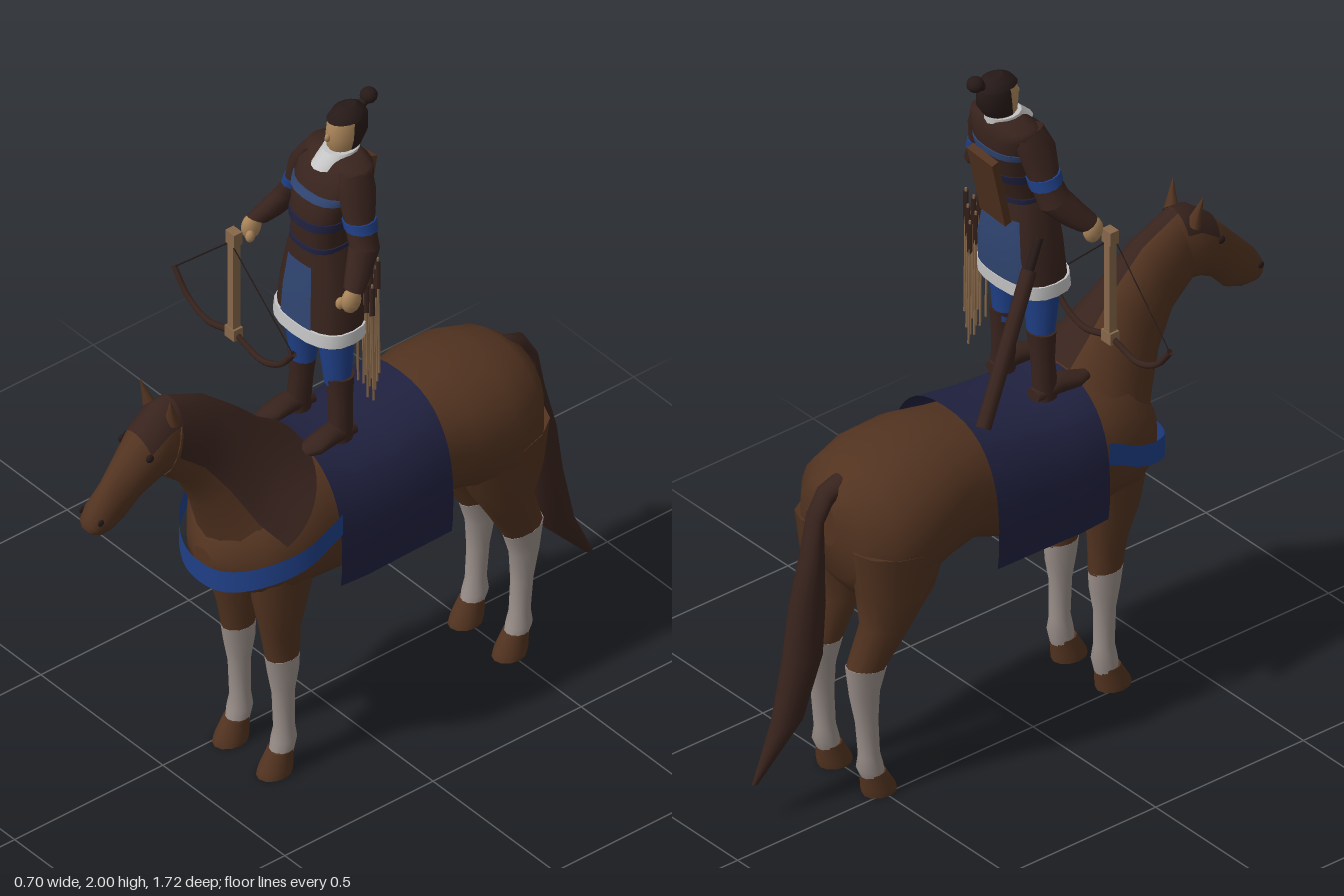
import * as THREE from 'three';

const mat = (name, color) => new THREE.MeshStandardMaterial({ name, color, side: THREE.DoubleSide });
const V = (x, y, z) => new THREE.Vector3(x, y, z);

// Loft through rings. Section: [z1, y1, z2, y2, halfWidthX, centreX]; angle PI/2 is point 1.
function loft(sections, { n = 16, a0 = 0, a1 = Math.PI * 2, grow = 1, p = 1, x = 0, side = 1 } = {}) {
  const closed = a1 - a0 > 6.28, cols = closed ? n : n + 1;
  const pos = [], idx = [], mid = V(0, 0, 0);
  const pw = v => Math.sign(v) * Math.abs(v) ** p * grow;
  const centres = sections.map(([z1, y1, z2, y2, , cx = x]) => V(cx * side, (y1 + y2) / 2, (z1 + z2) / 2));
  centres.forEach(c => mid.addScaledVector(c, 1 / centres.length));
  sections.forEach(([z1, y1, z2, y2, w], i) => {
    for (let j = 0; j < cols; j++) {
      const a = a0 + (a1 - a0) * j / n, s = pw(Math.sin(a)) / 2, c = centres[i];
      pos.push(c.x + w * pw(Math.cos(a)), c.y + (y1 - y2) * s, c.z + (z1 - z2) * s);
    }
  });
  for (let i = 0; i < sections.length - 1; i++) for (let j = 0; j < n; j++) {
    const k = (j + 1) % cols, a = i * cols + j, b = i * cols + k;
    idx.push(a, b, a + cols, b, b + cols, a + cols);
  }
  // end caps with their own ring so the edge stays sharp
  if (closed) [0, sections.length - 1].forEach(e => {
    const base = pos.length / 3;
    pos.push(...pos.slice(e * cols * 3, (e + 1) * cols * 3), centres[e].x, centres[e].y, centres[e].z);
    for (let j = 0; j < n; j++) {
      const k = (j + 1) % n;
      idx.push(base + n, base + (e ? j : k), base + (e ? k : j));
    }
  });
  // turn all faces outward
  const at = i => V(pos[i * 3], pos[i * 3 + 1], pos[i * 3 + 2]).sub(mid);
  let vol = 0;
  for (let i = 0; i < idx.length; i += 3) vol += at(idx[i]).dot(at(idx[i + 1]).cross(at(idx[i + 2])));
  if (vol < 0) idx.reverse();
  const g = new THREE.BufferGeometry();
  g.setAttribute('position', new THREE.Float32BufferAttribute(pos, 3));
  g.setIndex(idx);
  g.computeVertexNormals();
  return g;
}

// Level ring at height y from zFront to zBack
const lv = (y, zf, zb, w, x) => [zf, y, zb, y, w, x];
// Upright ring at depth z
const up = (z, top, bot, w, x) => [z, top, z, bot, w, x];

export function createModel() {
  const root = new THREE.Group();
  root.name = 'horseAndRider';
  const coat = mat('coatBrown', 0x523320), dark = mat('darkBrown', 0x38231d), hair = mat('hairBlack', 0x261a18),
    sock = mat('sockGrey', 0x9a8f8a), skin = mat('skin', 0xa98459), white = mat('furWhite', 0xc4c4c4),
    navy = mat('blanketNavy', 0x20213f), blue = mat('strapBlue', 0x1f3f86), panel = mat('panelBlue', 0x2f4470),
    wood = mat('woodTan', 0x87684a);
  const add = (name, geo, m, parent = root) => {
    const mesh = new THREE.Mesh(geo, m);
    mesh.name = name;
    parent.add(mesh);
    return mesh;
  };
  const group = name => { const g = new THREE.Group(); g.name = name; root.add(g); return g; };
  const rod = (name, a, b, r, m, parent, sides = 6, r2 = r) => {
    const mesh = add(name, new THREE.CylinderGeometry(r2, r, a.distanceTo(b), sides), m, parent);
    mesh.position.copy(a).lerp(b, 0.5);
    mesh.quaternion.setFromUnitVectors(V(0, 1, 0), b.clone().sub(a).normalize());
    return mesh;
  };
  const ball = (name, x, y, z, rx, ry, rz, m, parent) => {
    const mesh = add(name, new THREE.SphereGeometry(1, 12, 8), m, parent);
    mesh.position.set(x, y, z);
    mesh.scale.set(rx, ry, rz);
  };

  // Horse body, neck and head
  const horse = group('horse');
  add('body', loft([up(-.605, .88, .76, .04), up(-.585, .94, .66, .13), up(-.53, .98, .59, .195), up(-.43, 1.01, .58, .217),
    up(-.3, 1.015, .63, .205), up(-.2, 1, .64, .18), up(-.05, .97, .585, .195), up(.08, .965, .565, .2), up(.2, .99, .58, .212),
    up(.3, .97, .58, .208), up(.38, .9, .61, .163), up(.44, .82, .66, .09), up(.46, .76, .7, .04)], { n: 24, p: .92 }), coat, horse);
  add('neck', loft([[.15, .99, .43, .72, .17], [.25, 1.07, .45, .8, .125], [.34, 1.16, .49, .92, .088],
    [.45, 1.25, .54, 1.02, .07], [.56, 1.3, .61, 1.08, .06]]), coat, horse);
  add('head', loft([up(.55, 1.29, 1.13, .045), [.61, 1.3, .6, 1.09, .064], [.68, 1.26, .64, 1.085, .066], [.735, 1.2, .695, 1.055, .052],
    [.79, 1.14, .74, 1.005, .04], [.84, 1.085, .785, .99, .042], [.862, 1.045, .82, .99, .034], [.86, 1.02, .84, 1, .02]]), coat, horse);

  // Mane draped over the left side, with forelock
  add('mane', loft([[.17, 1.01, .42, .74, .207], [.25, 1.07, .45, .8, .145], [.34, 1.16, .49, .92, .094],
    [.45, 1.255, .54, 1.02, .074], [.57, 1.31, .6, 1.09, .067]], { a0: -.35, a1: 1.85, grow: 1.04 }), dark, horse);
  add('forelock', loft([[.57, 1.31, .58, 1.1, .066], [.62, 1.305, .61, 1.09, .068], [.69, 1.25, .65, 1.08, .064]],
    { a0: .5, a1: 2.64, grow: 1.05 }), dark, horse);

  // Tail
  add('tail', loft([[-.56, .96, -.58, .9, .03], [-.62, .94, -.6, .88, .03], [-.66, .87, -.625, .84, .03], lv(.75, -.685, -.62, .034),
    lv(.6, -.725, -.615, .041), lv(.45, -.745, -.625, .045), lv(.27, -.785, -.69, .035), lv(.115, -.855, -.835, .006)]), dark, horse);

  for (const s of [1, -1]) {
    const tag = s > 0 ? 'left' : 'right', leg = (name, secs, m) => add(tag + name, loft(secs, { n: 12, x: .09, side: s }), m, horse);
    leg('FrontLeg', [lv(.74, .38, .17, .085, .11), lv(.58, .36, .2, .07, .1), lv(.46, .33, .215, .047), lv(.37, .315, .215, .038)], coat);
    leg('FrontSock', [lv(.375, .317, .215, .039), lv(.32, .308, .218, .037), lv(.25, .295, .23, .028),
      lv(.14, .29, .23, .027), lv(.1, .297, .225, .035), lv(.055, .305, .235, .03)], sock);
    leg('FrontHoof', [lv(.07, .31, .235, .033), lv(.02, .34, .238, .041), lv(0, .345, .24, .041)], coat);
    leg('HindLeg', [[-.3, .74, -.6, .78, .1, .11], [-.35, .61, -.58, .64, .085, .11], [-.42, .5, -.56, .53, .062, .1],
      [-.485, .39, -.605, .41, .042]], coat);
    leg('HindSock', [[-.483, .39, -.607, .415, .043], lv(.32, -.505, -.595, .033), lv(.23, -.51, -.575, .028),
      lv(.13, -.505, -.565, .028), lv(.09, -.495, -.57, .035), lv(.055, -.488, -.555, .03)], sock);
    leg('HindHoof', [lv(.07, -.485, -.558, .033), lv(.02, -.455, -.555, .041), lv(0, -.45, -.55, .041)], coat);
    const ear = rod(tag + 'Ear', V(s * .045, 1.275, .6), V(s * .062, 1.36, .62), .025, coat, horse, 8, .001);
    ear.scale.z = .7;
    ball(tag + 'Eye', s * .057, 1.2, .685, .008, .012, .012, hair, horse);
    ball(tag + 'Nostril', s * .038, 1.05, .835, .005, .01, .01, hair, horse);
  }

  // Blanket and its thin edging
  const drape = { n: 24, a0: -.27, a1: Math.PI + .27, p: .8 };
  add('blanket', loft([up(-.203, 1.022, .43, .222), up(-.05, .995, .44, .222), up(.08, .985, .44, .222), up(.172, 1.005, .44, .222)], drape), navy, horse);
  // Breast strap: a ribbon bent around the chest
  const plan = new THREE.CatmullRomCurve3([V(-.222, .83, .17), V(-.222, .775, .29), V(-.172, .735, .395), V(-.085, .7, .457), V(0, .693, .472),
    V(.085, .7, .457), V(.172, .735, .395), V(.222, .775, .29), V(.222, .83, .17)]);
  const strap = new THREE.PlaneGeometry(1, .067, 32, 1), sp = strap.attributes.position;
  for (let i = 0; i < sp.count; i++) {
    const q = plan.getPoint(sp.getX(i) + .5);
    sp.setXYZ(i, q.x, q.y + sp.getY(i), q.z);
  }
  strap.computeVertexNormals();
  add('breastStrap', strap, blue, horse);

  // Rider: coat skirt and torso
  const rider = group('rider');
  const skirt = [lv(1.35, .15, -.025, .132), lv(1.45, .145, -.035, .122), lv(1.55, .135, -.025, .1), lv(1.61, .13, -.015, .08)];
  const torso = [lv(1.6, .13, -.015, .08), lv(1.68, .135, -.04, .084), lv(1.75, .12, -.06, .1), lv(1.81, .085, -.067, .112),
    lv(1.842, .05, -.06, .108), lv(1.855, .03, -.05, .05)];
  const box = { p: .8, n: 20 }, q = Math.PI / 2;
  add('skirt', loft(skirt, box), dark, rider);
  add('furHem', loft([lv(1.322, .16, -.03, .139), lv(1.36, .157, -.032, .136)], box), white, rider);
  [[q, .38, 'front'], [3 * q, .7, 'back']].forEach(([a, d, nm]) =>
    add(nm + 'Panel', loft(skirt.slice(0, 3), { ...box, n: 8, a0: a - d, a1: a + d, grow: 1.035 }), panel, rider));
  add('torso', loft(torso, box), dark, rider);
  add('belt', loft([lv(1.595, .135, -.02, .084), lv(1.61, .135, -.021, .084)], box), navy, rider);
  add('waistBand', loft([lv(1.665, .138, -.039, .087), lv(1.69, .137, -.047, .089)], box), navy, rider);
  add('chestBand', loft([lv(1.75, .123, -.063, .103), lv(1.77, .112, -.066, .107)], box), panel, rider);
  add('collar', loft([lv(1.825, .085, -.06, .05), lv(1.862, .045, -.06, .045)]), white, rider);

  // Head, hair and top knot
  const skull = [lv(1.845, .02, -.045, .026), lv(1.868, .033, -.062, .039), lv(1.9, .038, -.082, .043), lv(1.945, .032, -.083, .042),
    lv(1.965, .015, -.073, .034), lv(1.978, -.005, -.055, .018)];
  rod('riderNeck', V(0, 1.82, -.01), V(0, 1.88, -.015), .032, skin, rider, 10);
  add('face', loft(skull), skin, rider);
  add('hairBack', loft(skull.slice(1), { a0: Math.PI - .15, a1: Math.PI * 2 + .15, grow: 1.08 }), hair, rider);
  add('hairTop', loft([lv(1.95, .034, -.087, .044), lv(1.97, .017, -.075, .036), lv(1.983, -.01, -.055, .016)]), hair, rider);
  ball('nose', 0, 1.905, .038, .007, .012, .01, skin, rider);
  rod('knotTie', V(0, 1.955, -.065), V(0, 1.978, -.1), .013, hair, rider, 8);
  ball('topKnot', 0, 1.979, -.1, .024, .022, .024, hair, rider);

  for (const s of [1, -1]) {
    const tag = s > 0 ? 'left' : 'right', limb = (name, secs, m) => add(tag + name, loft(secs, { n: 12, x: .07, side: s }), m, rider);
    limb('UpperArm', [lv(1.835, .06, -.04, .026, .08), [.08, 1.785, -.035, 1.78, .038, .1], [.075, 1.7, -.012, 1.69, .036, .123],
      [.085, 1.655, -.005, 1.625, .035, .152]], dark);
    limb('ArmBand', [[.08, 1.715, -.019, 1.705, .041, .119], [.08, 1.69, -.016, 1.675, .041, .129]], blue);
    limb('Forearm', [[.085, 1.655, -.005, 1.625, .035, .152], [.12, 1.605, .05, 1.57, .031, .18], [.142, 1.575, .085, 1.545, .026, .198]], dark);
    ball(tag + 'Hand', s * .205, 1.537, .128, .022, .038, .03, skin, rider);
    ball(tag + 'Thumb', s * .185, 1.525, .148, .012, .018, .014, skin, rider);
    limb('Trouser', [lv(1.4, .12, .01, .055, .065), lv(1.27, .112, .02, .047), lv(1.16, .098, .028, .037)], blue);
    limb('Boot', [lv(1.19, .1, .022, .043, .075), lv(1.1, .093, .03, .035, .08), lv(1.02, .1, .03, .03, .085), lv(.985, .1, .03, .03, .085)], dark);
    limb('Foot', [up(.025, 1.02, .985, .024, .085), up(.1, 1.045, .985, .033, .088), up(.16, 1.025, .985, .034, .09),
      up(.2, 1.015, .99, .018, .09)], dark);
  }

  // Flat case on the back
  const pack = add('backCase', new THREE.BoxGeometry(.1, .24, .022), coat, rider);
  pack.position.set(-.02, 1.665, -.07);
  pack.rotation.set(-.29, 0, .12);

  // Arrow bundle at the left hip
  const arrows = group('arrows');
  for (let i = 0; i < 10; i++) {
    const x = .1 + (i % 3) * .016, z = -.035 + i * .0065, foot = 1.1 + (i * 7 % 5) * .02;
    rod('arrowShaft', V(x, foot, z - .005), V(x, foot + .38, z), .0035, wood, arrows, 5);
    rod('arrowFeather', V(x, foot + .28, z), V(x, foot + .37, z), .008, dark, arrows, 3);
  }

  // Scabbard and grip at the right hip
  const sword = group('sword');
  rod('scabbard', V(-.225, 1.09, -.26), V(-.135, 1.44, -.03), .021, dark, sword, 8);
  rod('swordGrip', V(-.137, 1.43, -.035), V(-.115, 1.51, .02), .012, hair, sword, 8);

  // Crossbow held upside down in the right hand
  const bow = group('crossbow'), cx = -.225, bz = .17;
  add('stock', new THREE.BoxGeometry(.024, .31, .024), wood, bow).position.set(cx, 1.35, bz);
  add('stockEnd', new THREE.BoxGeometry(.036, .04, .028), wood, bow).position.set(cx, 1.51, bz);
  add('stockNose', new THREE.BoxGeometry(.038, .035, .03), wood, bow).position.set(cx, 1.2, bz);
  const limbs = [[-.245, 1.27], [-.19, 1.205], [-.11, 1.172], [0, 1.195], [.11, 1.172], [.19, 1.205], [.245, 1.27]];
  const bend = new THREE.CatmullRomCurve3(limbs.map(([x, y]) => V(cx + x, y, bz)));
  add('bowLimbs', new THREE.TubeGeometry(bend, 32, .009, 6), dark, bow);
  for (const s of [1, -1]) rod('bowString', V(cx + s * .243, 1.268, bz), V(cx, 1.5, bz + .012), .002, hair, bow, 4);

  root.children.forEach(g => { g.position.x = .115; });
  return root;
}
